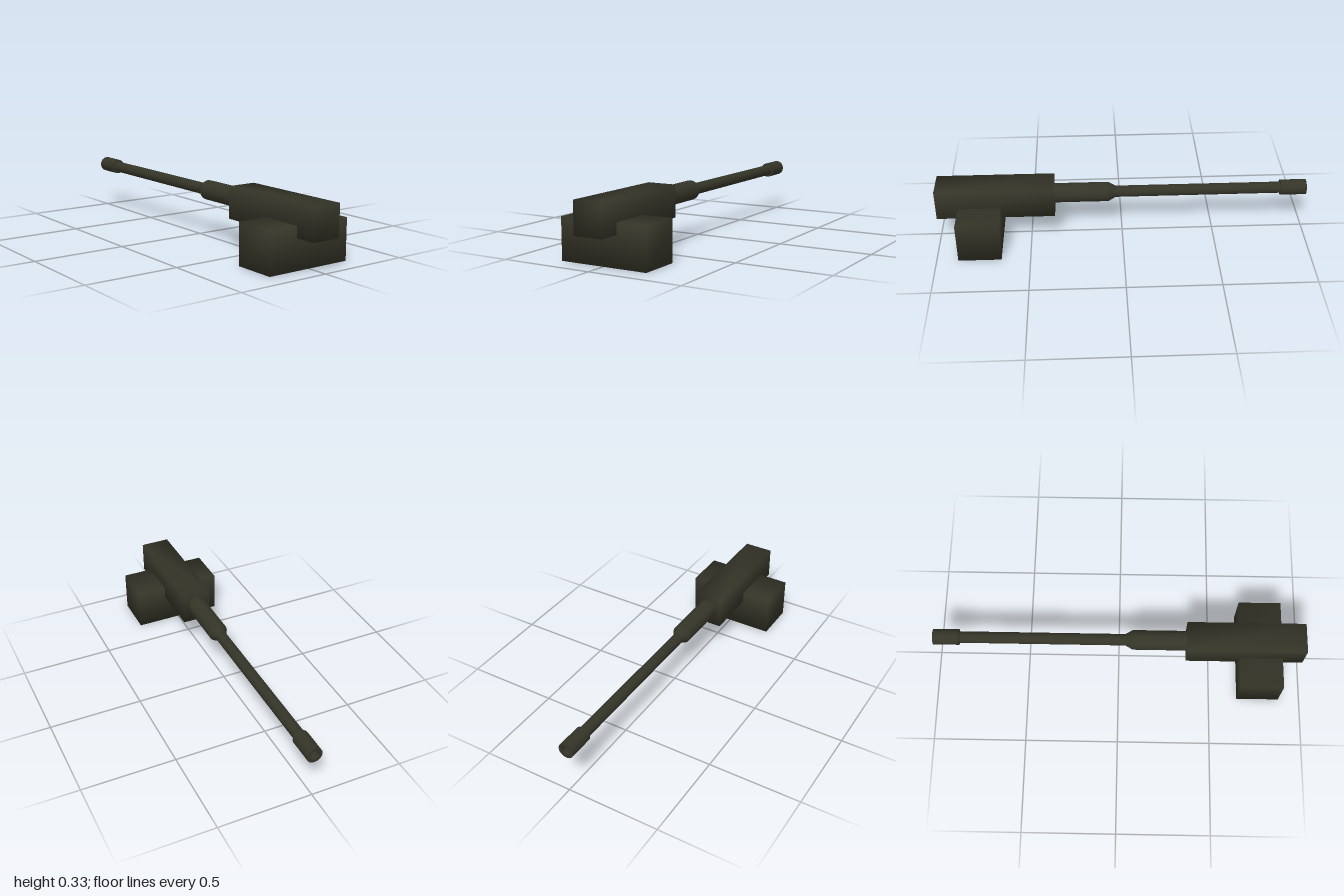
import * as THREE from 'three';
import { mergeVertices } from 'three/addons/utils/BufferGeometryUtils.js';

export function createModel() {
  const group = new THREE.Group();
  const gunmetal = new THREE.MeshStandardMaterial({ name: 'dark olive metal', color: 0x343428 });

  const add = (name, geometry) => {
    const mesh = new THREE.Mesh(geometry, gunmetal);
    mesh.name = name;
    group.add(mesh);
    return mesh;
  };

  // Box with shared corners, so its shading is soft across the edges
  const softBox = (name, x0, x1, y0, y1, halfDepth) => {
    let geometry = new THREE.BoxGeometry(x1 - x0, y1 - y0, halfDepth * 2);
    geometry.deleteAttribute('uv');
    geometry.deleteAttribute('normal');
    geometry = mergeVertices(geometry);
    geometry.computeVertexNormals();
    add(name, geometry).position.set((x0 + x1) / 2, (y0 + y1) / 2, 0);
  };

  softBox('breech', 0.365, 1, 0.16, 0.33, 0.08);
  softBox('mountBlock', 0.655, 0.885, 0, 0.22, 0.243);

  // Turned part along x; every corner is doubled to keep it crisp
  const turned = (name, profile) => {
    const points = profile.flatMap(([r, x], i) => {
      const p = new THREE.Vector2(r, x);
      return i === 0 || i === profile.length - 1 ? [p] : [p, p.clone()];
    });
    const geometry = new THREE.LatheGeometry(points, 16);
    geometry.rotateZ(-Math.PI / 2);
    add(name, geometry).position.y = 0.257;
  };

  // Hollow muzzle with its bore
  turned('muzzle', [[0, -0.93], [0.027, -0.93], [0.027, -1], [0.042, -1], [0.042, -0.86], [0, -0.86]]);
  turned('barrel', [[0.031, -0.87], [0.031, 0.045]]);
  // Thick sleeve tapering down to the barrel
  turned('barrelSleeve', [[0.031, 0.035], [0.053, 0.075], [0.053, 0.38]]);

  return group;
}
